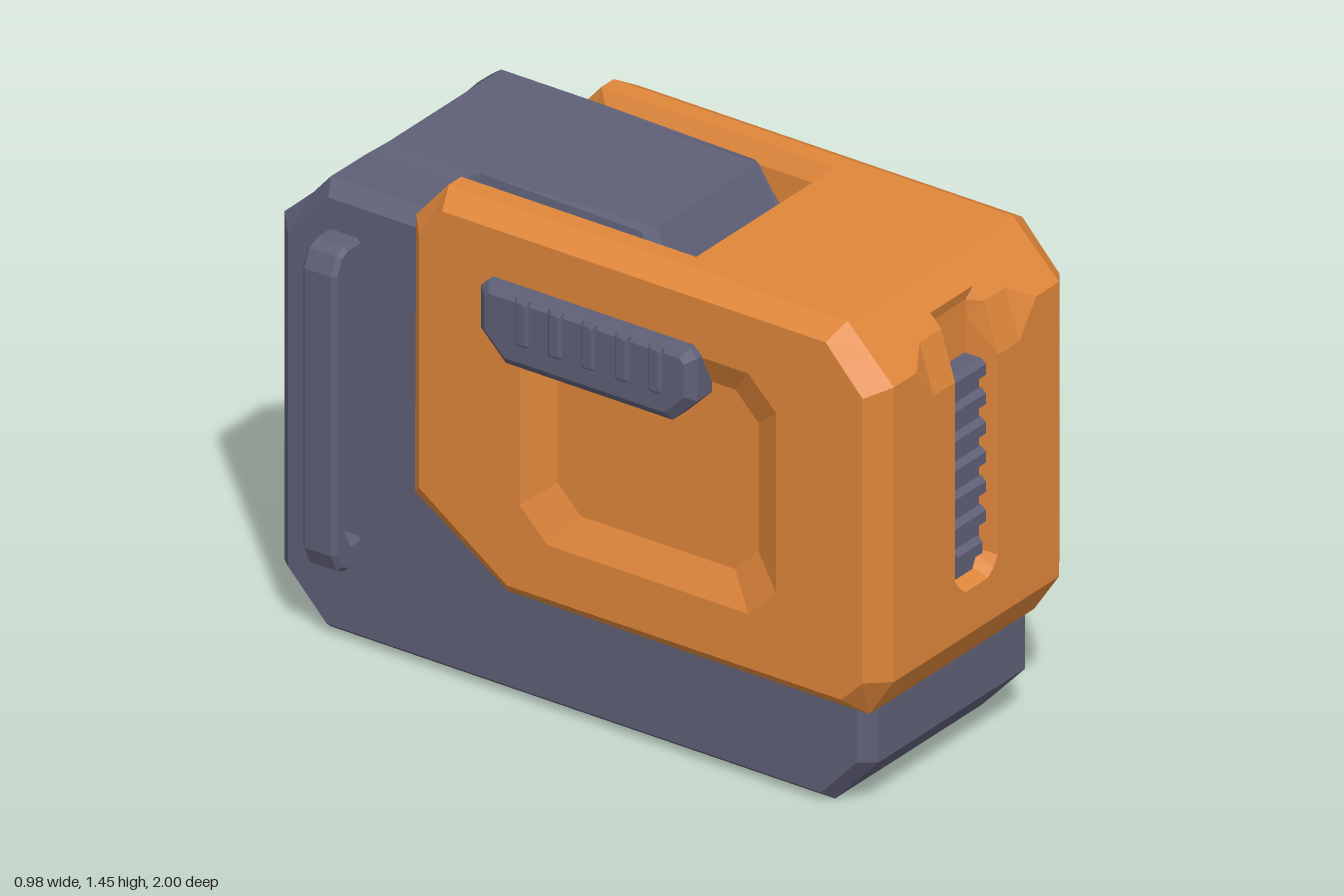
import * as THREE from 'three';

const orange = new THREE.MeshStandardMaterial({ color: 0xdf863a });
orange.name = 'orange shell';
const slate = new THREE.MeshStandardMaterial({ color: 0x5f5f77 });
slate.name = 'slate plastic';

// Faceted solid from [x, [[z, y], ...]] cross-sections, x ascending.
// An optional recess { outer, inner, depth } is sunk into both end faces.
function loft(levels, recess) {
  const pos = [];
  const tri = (a, b, c, side = 0) => {
    const ab = new THREE.Vector3(...b).sub(new THREE.Vector3(...a));
    const n = ab.cross(new THREE.Vector3(...c).sub(new THREE.Vector3(...a)));
    if (n.length() < 1e-8) return;
    if (side && n.x * side < 0) pos.push(...a, ...c, ...b);
    else pos.push(...a, ...b, ...c);
  };
  const at = (x, p) => [x, p[1], p[0]];
  for (let i = 0; i + 1 < levels.length; i++) {
    const [x0, p] = levels[i], [x1, q] = levels[i + 1];
    p.forEach((_, j) => {
      const k = (j + 1) % p.length;
      tri(at(x0, p[j]), at(x0, p[k]), at(x1, q[k]));
      tri(at(x0, p[j]), at(x1, q[k]), at(x1, q[j]));
    });
  }
  const cap = (x, pts, hole, side) => {
    const v = (l) => l.map((p) => new THREE.Vector2(p[0], p[1]));
    const all = [...pts, ...(hole || [])];
    for (const f of THREE.ShapeUtils.triangulateShape(v(pts), hole ? [v(hole)] : []))
      tri(...f.map((i) => at(x, all[i])), side);
  };
  for (const [level, side] of [[levels[0], -1], [levels[levels.length - 1], 1]]) {
    const [x, pts] = level;
    cap(x, pts, recess && recess.outer, side);
    if (!recess) continue;
    const { outer, inner, depth } = recess, xi = x - side * depth;
    cap(xi, inner, null, side);
    outer.forEach((p, j) => {
      const k = (j + 1) % outer.length;
      tri(at(x, p), at(x, outer[k]), at(xi, inner[k]), side);
      tri(at(x, p), at(xi, inner[k]), at(xi, inner[j]), side);
    });
  }
  const g = new THREE.BufferGeometry();
  g.setAttribute('position', new THREE.Float32BufferAttribute(pos, 3));
  g.computeVertexNormals();
  return g;
}

const flip = (levels) => levels.map(([x, p]) => [-x, p]).reverse();
// Levels run from the middle outwards
const symmetric = (half) => [...flip(half), ...half];

// Octagon with corner cut c, in z and y
const octagon = (z0, z1, y0, y1, c) => [
  [z1, y0 + c], [z1 - c, y0], [z0 + c, y0], [z0, y0 + c],
  [z0, y1 - c], [z0 + c, y1], [z1 - c, y1], [z1, y1 - c]];

function bodyGeometry() {
  const base = {
    bottomFront: [0.78, 0], bottomRear: [-0.85, 0], rearLow: [-1, 0.15],
    slotLow: [-1, 0.56], slotLowIn: [-1, 0.56], rearHigh: [-1, 1.18],
    slotHighIn: [-0.89, 1.282], slotHigh: [-0.89, 1.282],
    topRear: [-0.72, 1.44], topMid: [-0.5, 1.44], topMid2: [-0.42, 1.44], topFront: [0.13, 1.44],
    slopeEnd: [0.25, 1.2], drop: [0.25, 1], inside: [0.8, 0.5], frontHigh: [0.92, 0.36], frontLow: [0.92, 0.15],
  };
  const slot = { slotLowIn: [-0.82, 0.62], rearHigh: [-0.82, 1.18], slotHighIn: [-0.82, 1.23] };
  const shoulder = {
    rearHigh: [-1, 1.18], slotHighIn: [-0.92, 1.25], slotHigh: [-0.92, 1.25], topRear: [-0.85, 1.33],
    topMid: [-0.5, 1.33], topMid2: [-0.42, 1.2], topFront: [0.13, 1.2], slopeEnd: [0.2, 1.15],
  };
  const level = (x, o) => [x, Object.values({ ...base, ...o })];
  return loft(symmetric([
    level(0.06, { ...slot, slotLow: [-1, 0.48], slotLowIn: [-0.82, 0.55] }),
    level(0.12, slot),
    level(0.12),
    level(0.225),
    level(0.25, { topFront: [0.1, 1.43], slopeEnd: [0.25, 1.22] }),
    level(0.28, { topRear: [-0.77, 1.4], topMid: [-0.5, 1.4], topMid2: [-0.42, 1.29], topFront: [0.14, 1.27], slopeEnd: [0.24, 1.2],
      slotHighIn: [-0.9, 1.27], slotHigh: [-0.9, 1.27] }),
    level(0.325, shoulder),
    level(0.365, {
      ...shoulder, bottomFront: [0.765, 0.03], bottomRear: [-0.835, 0.03], rearLow: [-0.96, 0.16],
      slotLow: [-0.96, 0.56], slotLowIn: [-0.96, 0.56], rearHigh: [-0.96, 1.14],
      slotHighIn: [-0.9, 1.21], slotHigh: [-0.9, 1.21], topRear: [-0.83, 1.29], topMid: [-0.5, 1.29],
      frontHigh: [0.88, 0.36], frontLow: [0.88, 0.155],
    }),
  ]));
}

function shellGeometry() {
  const base = {
    bottomFront: [0.92, 0.31], bottomRear: [-0.25, 0.31], rearLow: [-0.55, 0.51],
    rearHigh: [-0.545, 1.33], topRear: [-0.44, 1.45],
    windowFloor: [0.32, 1.45], windowLip: [0.32, 1.45], windowEdge: [0.32, 1.45], topFront: [0.85, 1.45],
    slotHigh: [0.92, 1.38], slotHighIn: [0.92, 1.38], browHigh: [1, 1.3], browLow: [1, 1.3],
    slotLowIn: [1, 0.61], slotLow: [1, 0.61], frontLow: [1, 0.43],
  };
  const brow = { browHigh: [0.955, 1.345], browLow: [1, 1.2] };
  const window = {
    rearHigh: [-0.32, 1.1], topRear: [-0.3, 1.15], windowFloor: [0.28, 1.15], windowLip: [0.28, 1.39],
  };
  const slot = {
    slotHighIn: [0.91, 1.345], browHigh: [0.91, 1.3], browLow: [0.91, 1.2],
    slotLowIn: [0.91, 0.62], slotLow: [1, 0.58],
  };
  const level = (x, ...o) => [x, Object.values(Object.assign({}, base, ...o))];
  return loft(symmetric([
    level(0.05, window, slot, { slotLow: [1, 0.56], slotLowIn: [0.91, 0.59] }),
    level(0.075, window, slot),
    level(0.095, window, brow),
    level(0.19, window, brow),
    level(0.265, window),
    level(0.28, window, { windowFloor: [0.28, 1.15], windowLip: [0.29, 1.4] }),
    level(0.28, { rearHigh: [-0.46, 1.3], topRear: [-0.4, 1.4], windowFloor: [0.29, 1.4], windowLip: [0.29, 1.4] }),
    level(0.31),
    level(0.365),
    level(0.435, {
      bottomFront: [0.88, 0.37], bottomRear: [-0.2, 0.37], rearLow: [-0.485, 0.57],
      rearHigh: [-0.485, 1.31], topRear: [-0.41, 1.41],
      windowFloor: [0.32, 1.41], windowLip: [0.32, 1.41], windowEdge: [0.32, 1.41], topFront: [0.83, 1.41],
      slotHigh: [0.885, 1.35], slotHighIn: [0.885, 1.35], browHigh: [0.95, 1.28], browLow: [0.95, 1.28],
      slotLowIn: [0.95, 0.61], slotLow: [0.95, 0.61], frontLow: [0.95, 0.44],
    }),
  ]), {
    outer: octagon(-0.16, 0.67, 0.53, 1.24, 0.09),
    inner: octagon(-0.07, 0.58, 0.62, 1.15, 0.075),
    depth: 0.045,
  });
}

// Carry bar standing off one side of the body
function handleGeometry(s) {
  const pts = [[0.35, 0.252], [0.42, 0.252], [0.448, 0.265], [0.468, 0.31], [0.468, 1.13], [0.448, 1.175], [0.42, 1.188],
    [0.35, 1.188], [0.35, 1.13], [0.41, 1.13], [0.432, 1.1], [0.432, 0.34], [0.41, 0.31], [0.35, 0.31]];
  const shape = new THREE.Shape(pts.map(([x, y]) => new THREE.Vector2(s * x, y)));
  const g = new THREE.ExtrudeGeometry(shape, {
    depth: 0.086, bevelEnabled: true, bevelSegments: 1, bevelSize: 0.012, bevelThickness: 0.012,
  });
  g.translate(0, 0, -0.823);
  return g;
}

// Side grip plate outline, shrunk by d
const gripOutline = (d) => [
  [0.43 - d, 1.12 + d * 0.4], [0.35 - d * 0.4, 1.04 + d], [-0.19 + d * 0.4, 1.04 + d], [-0.27 + d, 1.12 + d * 0.4],
  [-0.27 + d, 1.245 - d * 0.6], [-0.245 + d * 0.6, 1.27 - d], [0.405 - d * 0.6, 1.27 - d], [0.43 - d, 1.245 - d * 0.6]];

export function createModel() {
  const group = new THREE.Group();
  const add = (name, geometry, material, parent = group) => {
    const m = new THREE.Mesh(geometry, material);
    m.name = name;
    parent.add(m);
    return m;
  };

  add('body', bodyGeometry(), slate);
  add('shell', shellGeometry(), orange);
  add('rearSlotPanel', new THREE.BoxGeometry(0.236, 0.6, 0.008), orange).position.set(0, 0.92, -0.822);

  // Handles and ribbed grips on both sides
  for (const [s, side] of [[1, 'left'], [-1, 'right']]) {
    add(side + 'Handle', handleGeometry(s), slate);
    const grip = new THREE.Group();
    grip.name = side + 'Grip';
    group.add(grip);
    const orient = (l) => (s > 0 ? l : flip(l));
    add('gripPlate', loft(orient([[0.38, gripOutline(0)], [0.455, gripOutline(0)], [0.478, gripOutline(0.028)]])), slate, grip);
    for (let i = 0; i < 5; i++) {
      const z = 0.313 - i * 0.108;
      const rib = (w, y0, y1) => octagon(z - w, z + w, y0, y1, 0.006);
      add('gripRib', loft(orient([[0.46, rib(0.022, 1.12, 1.262)], [0.482, rib(0.022, 1.12, 1.262)],
        [0.49, rib(0.014, 1.128, 1.25)]])), slate, grip);
    }
  }

  // Ribbed slider in the front slot
  const slider = new THREE.Group();
  slider.name = 'slider';
  group.add(slider);
  const outline = new THREE.Shape([[-0.066, 1.18], [-0.066, 0.64], [-0.036, 0.58], [0.036, 0.58], [0.066, 0.64], [0.066, 1.18]]
    .map(([x, y]) => new THREE.Vector2(x, y)));
  const plate = new THREE.ExtrudeGeometry(outline, { depth: 0.06, bevelEnabled: false });
  plate.translate(0, 0, 0.9);
  add('sliderPlate', plate, slate, slider);
  for (let i = 0; i < 7; i++) {
    const y = 1.162 - i * 0.0865;
    const end = i === 6 ? 0.055 : 0.07;
    const rib = [[0.9, y - 0.028], [0.9, y + 0.028], [0.965, y + 0.028], [0.98, y + 0.016], [0.98, y - 0.016], [0.965, y - 0.028]].reverse();
    add('sliderRib', loft([[-end, rib.slice().reverse()], [end, rib.slice().reverse()]]), slate, slider);
  }
  return group;
}
